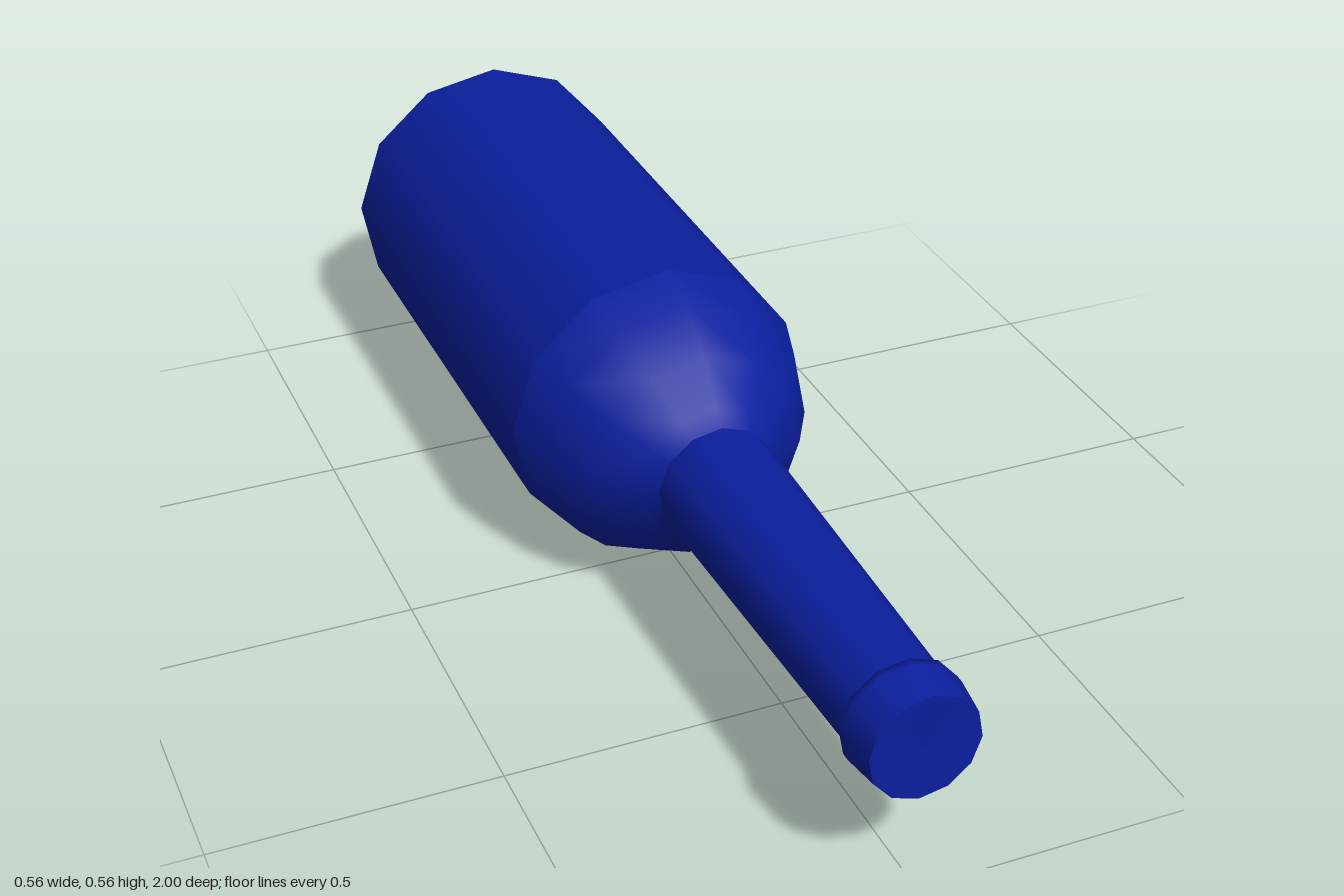
import * as THREE from 'three';

const SIDES = 12;
const AXIS_HEIGHT = 0.28;
const TWIST = THREE.MathUtils.degToRad(-4);

export function createModel() {
  const group = new THREE.Group();
  group.name = 'bottle';
  const glass = new THREE.MeshStandardMaterial({ color: 0x0b1f9e });

  // Each part is turned around the bottle's axis from [radius, z] pairs, back to front.
  const addTurned = (name, profile) => {
    const points = profile.map(([r, z]) => new THREE.Vector2(r, z));
    const geometry = new THREE.LatheGeometry(points, SIDES, TWIST);
    geometry.rotateX(Math.PI / 2);
    const mesh = new THREE.Mesh(geometry, glass);
    mesh.name = name;
    mesh.position.y = AXIS_HEIGHT;
    group.add(mesh);
  };

  // Base with a shallow hollow
  addTurned('base', [[0, -0.965], [0.17, -0.98], [0.265, -1]]);
  // Chamfered foot and straight wall
  addTurned('body', [[0.265, -1], [0.28, -0.985], [0.28, -0.05]]);
  // Rounded shoulder running into the neck
  addTurned('shoulder', [[0.28, -0.05], [0.252, 0.04], [0.2, 0.13], [0.13, 0.19], [0.11, 0.22]]);
  addTurned('neck', [[0.11, 0.22], [0.092, 0.92]]);
  // Raised lip around the mouth
  addTurned('lip', [[0.092, 0.915], [0.105, 0.915], [0.105, 0.93], [0.096, 1]]);
  addTurned('mouth', [[0.096, 1], [0.085, 1], [0, 0.995]]);

  return group;
}
